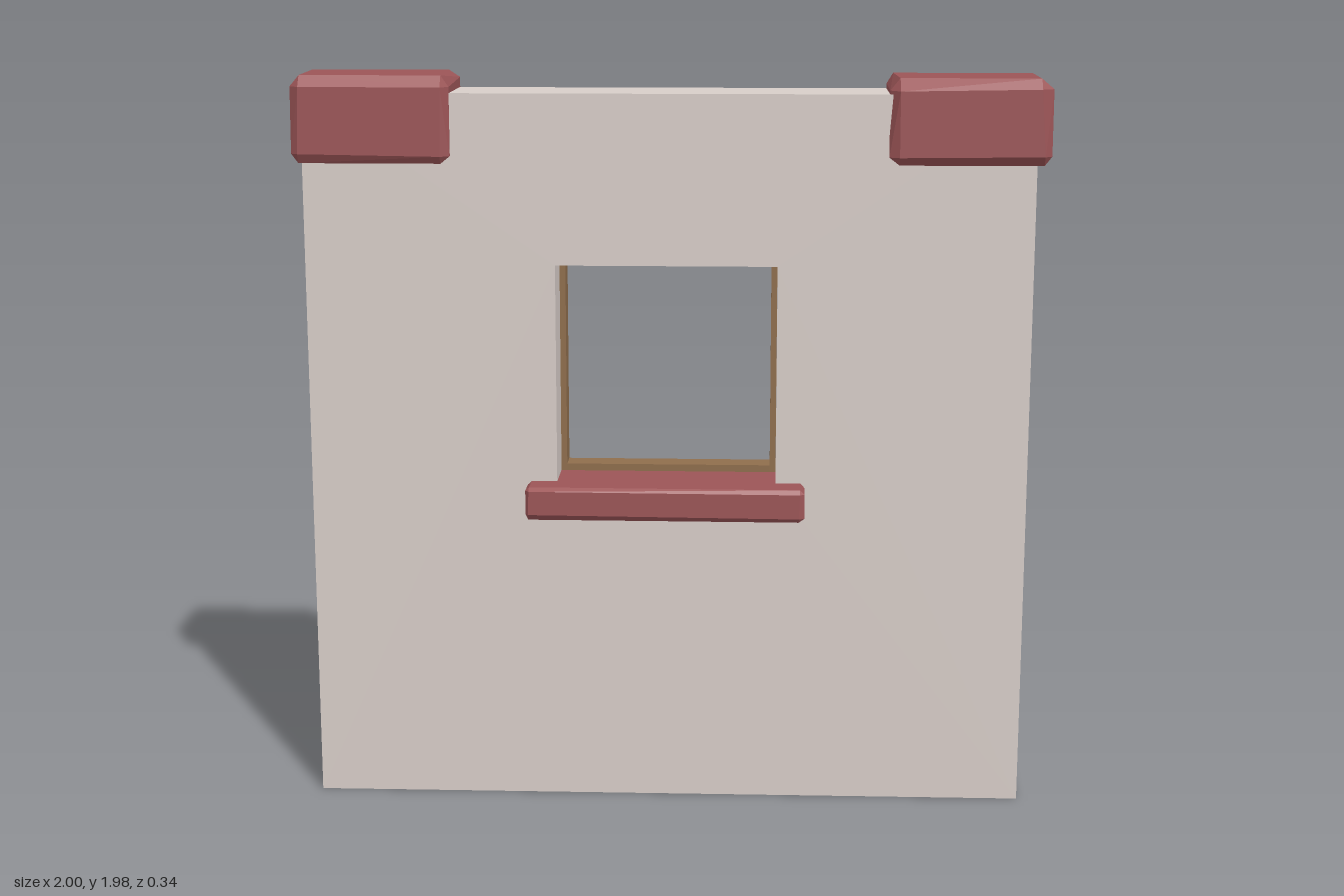
import * as THREE from 'three';
import { ConvexGeometry } from 'three/addons/geometries/ConvexGeometry.js';

const material = (color) => new THREE.MeshStandardMaterial({ color, flatShading: true });
const plaster = material(0xd8cec9);
const brick = material(0x9c5557);
const wood = material(0x8f6e4c);

// Rough-cut stone: a box whose corners are chamfered by slightly uneven amounts
function roughBlock(name, min, max, chamfer, seed) {
  const random = () => {
    seed = (seed * 16807) % 2147483647;
    return seed / 2147483647;
  };
  const lo = new THREE.Vector3(...min), hi = new THREE.Vector3(...max);
  const centre = lo.clone().add(hi).multiplyScalar(0.5);
  const half = hi.clone().sub(lo).multiplyScalar(0.5);
  const points = [];
  for (const sx of [-1, 1]) for (const sy of [-1, 1]) for (const sz of [-1, 1]) {
    const cut = [0, 1, 2].map(() => chamfer * (0.6 + 0.8 * random()));
    // One point on each of the three faces meeting at this corner
    for (let face = 0; face < 3; face++) {
      const inset = cut.map((c, axis) => (axis === face ? 0 : c));
      points.push(new THREE.Vector3(
        sx * (half.x - inset[0]), sy * (half.y - inset[1]), sz * (half.z - inset[2])));
    }
  }
  const mesh = new THREE.Mesh(new ConvexGeometry(points), brick);
  mesh.position.copy(centre);
  mesh.name = name;
  return mesh;
}

function box(name, x0, x1, y0, y1, z0, z1, mat) {
  const mesh = new THREE.Mesh(new THREE.BoxGeometry(x1 - x0, y1 - y0, z1 - z0), mat);
  mesh.position.set((x0 + x1) / 2, (y0 + y1) / 2, (z0 + z1) / 2);
  mesh.name = name;
  return mesh;
}

function rectangle(path, x0, x1, y0, y1) {
  path.moveTo(x0, y0);
  path.lineTo(x1, y0);
  path.lineTo(x1, y1);
  path.lineTo(x0, y1);
  path.closePath();
  return path;
}

export function createModel() {
  const model = new THREE.Group();
  model.name = 'windowWall';

  // Window opening and wall depth
  const left = -0.305, right = 0.287, bottom = 0.887, top = 1.484;
  const back = -0.148, front = 0.083;

  // Plaster wall with a square opening
  const outline = rectangle(new THREE.Shape(), -0.974, 0.963, 0, 1.938);
  outline.holes.push(rectangle(new THREE.Path(), left, right, bottom, top));
  const wallGeometry = new THREE.ExtrudeGeometry(outline, { depth: front - back, bevelEnabled: false });
  wallGeometry.translate(0, 0, back);
  const wall = new THREE.Mesh(wallGeometry, plaster);
  wall.name = 'wall';
  model.add(wall);

  // Slim wooden frame set toward the back of the opening
  const frame = new THREE.Group();
  frame.name = 'windowFrame';
  const t = 0.016, z0 = -0.122, z1 = -0.052;
  frame.add(
    box('frameRightBar', left, left + t, bottom, top, z0, z1, wood),
    box('frameLeftBar', right - t, right, bottom, top, z0, z1, wood),
    box('frameTopBar', left + t, right - t, top - t, top, z0, z1, wood),
    box('frameBottomBar', left + t, right - t, bottom, 0.912, z0, z1, wood));
  model.add(frame);

  // Stone sill, running from the frame out past the wall face
  model.add(roughBlock('sill', [-0.385, 0.805, -0.06], [0.365, 0.894, 0.17], 0.012, 11));

  // Stone caps on both upper corners
  model.add(
    roughBlock('rightCornerCap', [-1, 1.754, -0.17], [-0.58, 1.984, 0.106], 0.022, 5),
    roughBlock('leftCornerCap', [0.576, 1.754, -0.17], [1, 1.98, 0.106], 0.026, 23));

  return model;
}
